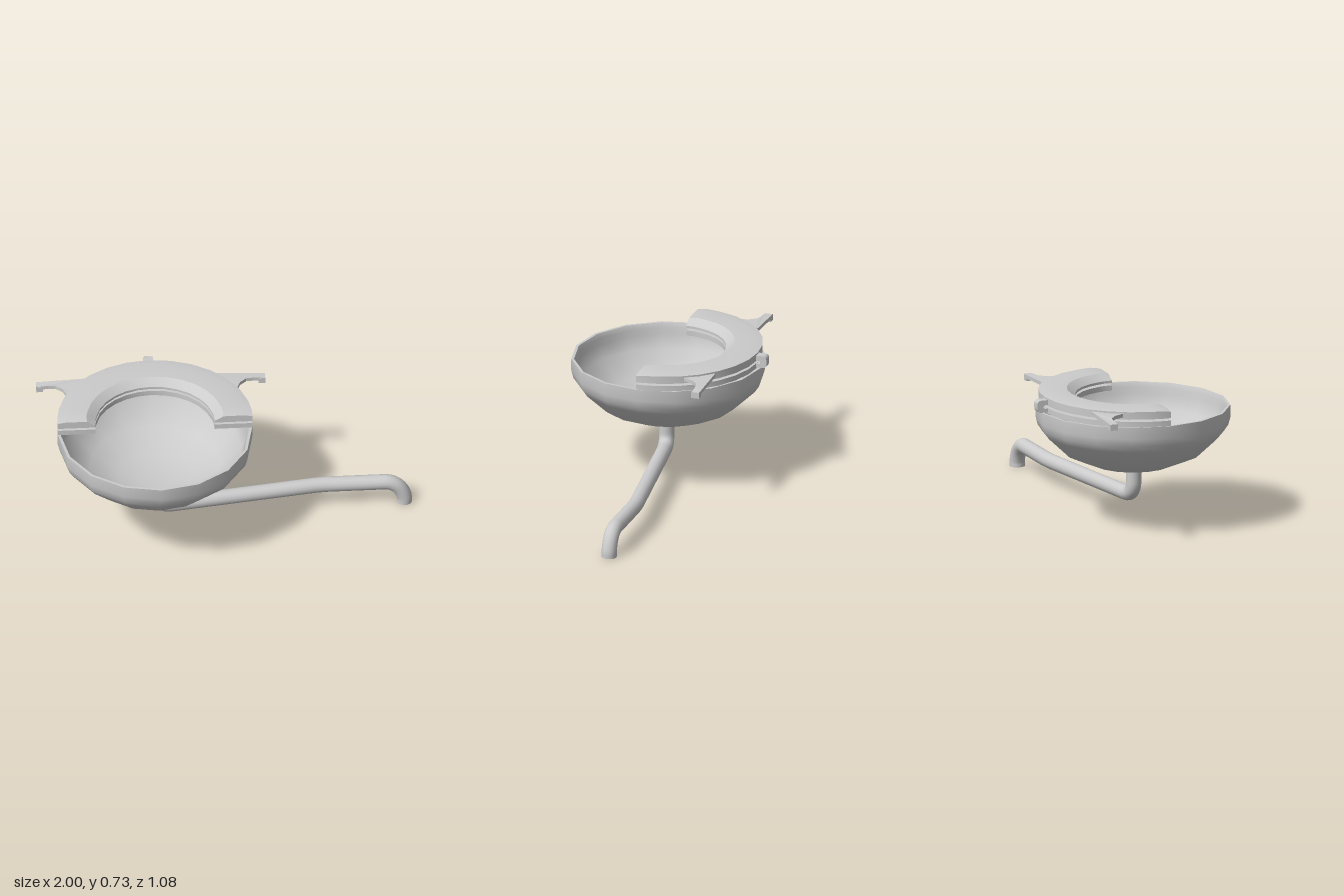
import * as THREE from 'three';
import { toCreasedNormals } from 'three/addons/utils/BufferGeometryUtils.js';

const CX = -0.387, CZ = 0.021; // axis of the bowl
const mat = new THREE.MeshStandardMaterial({ color: 0xcccccc });
const matBoth = new THREE.MeshStandardMaterial({ color: 0xcccccc, side: THREE.DoubleSide });

function add(group, name, geometry, material = mat) {
  const mesh = new THREE.Mesh(geometry, material);
  mesh.name = name;
  group.add(mesh);
  return mesh;
}

// Half ring: a closed [radius, y] profile swept round the back, slightly flattened in depth.
function halfRing(profile, endDrop) {
  const n = profile.length, sections = [], steps = 14;
  const section = (a, dz, drop) => sections.push(profile.map(([r, y]) =>
    [r * Math.cos(a), y > 0.7 ? y - drop : y, -0.967 * r * Math.sin(a) + dz]));
  section(0, 0.008, endDrop);
  section(0, -0.034, 0);
  for (let i = 1; i < steps; i++) section(i * Math.PI / steps, 0, 0);
  section(Math.PI, -0.034, 0);
  section(Math.PI, 0.008, endDrop);

  const pos = sections.flat(2), index = [];
  const last = (sections.length - 1) * n;
  for (let s = 0; s < sections.length - 1; s++)
    for (let j = 0; j < n; j++) {
      const a = s * n + j, b = s * n + (j + 1) % n;
      index.push(a, a + n, b, b, a + n, b + n);
    }
  const caps = THREE.ShapeUtils.triangulateShape(profile.map(p => new THREE.Vector2(...p)), []);
  for (const [a, b, c] of caps) index.push(a, b, c, last + a, last + c, last + b);
  const g = new THREE.BufferGeometry();
  g.setAttribute('position', new THREE.Float32BufferAttribute(pos, 3));
  g.setIndex(index);
  return toCreasedNormals(g, 0.3);
}

// Side handle: a tapering plate that dips outwards, with a block under its tip.
function handle(side) {
  const group = new THREE.Group();
  const pts = [[0.613, 0.38], [0.33, 0.38], [0.4, 0.24], [0.452, 0.236], [0.475, 0.295], [0.51, 0.33],
    [0.55, 0.337], [0.613, 0.337]];
  const shape = new THREE.Shape(pts.map(([x, z]) => new THREE.Vector2(side * x, z)));
  const g = new THREE.ExtrudeGeometry(shape, { depth: 0.02, bevelEnabled: false });
  g.rotateX(-Math.PI / 2);
  const p = g.attributes.position;
  for (let i = 0; i < p.count; i++)
    p.setY(i, p.getY(i) + 0.68 + 0.075 * Math.max(0, 0.613 - Math.max(0.45, Math.abs(p.getX(i)))));
  g.computeVertexNormals();
  add(group, 'handlePlate', g);
  add(group, 'handleTip', new THREE.BoxGeometry(0.035, 0.033, 0.044))
    .position.set(side * 0.5955, 0.6825, -0.358);
  return group;
}

export function createModel() {
  const model = new THREE.Group();
  const body = new THREE.Group();
  body.name = 'bowlAndSeat';
  body.position.set(CX, 0, CZ);
  model.add(body);

  // Bowl: outside from the base to the rim, then the inside back down
  const bowl = [[0, 0.296], [0.085, 0.298], [0.21, 0.312], [0.365, 0.377], [0.485, 0.49], [0.51, 0.527],
    [0.521, 0.57], [0.521, 0.635], [0.506, 0.635], [0.496, 0.61], [0.494, 0.575], [0.465, 0.503],
    [0.352, 0.395], [0.2, 0.332], [0.085, 0.317], [0, 0.315]].map(([r, y]) => new THREE.Vector2(r, y));
  add(body, 'bowl', toCreasedNormals(new THREE.LatheGeometry(bowl, 16), 0.6));

  // Two stacked half rings with a gap between them
  add(body, 'lowerSeat', halfRing([[0.318, 0.638], [0.521, 0.638], [0.521, 0.667], [0.318, 0.667]], 0));
  add(body, 'upperSeat', halfRing([[0.318, 0.68], [0.521, 0.68], [0.521, 0.721], [0.475, 0.728],
    [0.365, 0.727], [0.345, 0.713], [0.318, 0.693]], 0.007));

  // Hinge: a rounded C-shaped clip joining the rings at the back
  const clip = new THREE.Shape();
  clip.moveTo(0.49, 0.645);
  clip.lineTo(0.538, 0.645);
  clip.quadraticCurveTo(0.56, 0.645, 0.56, 0.667);
  clip.lineTo(0.56, 0.69);
  clip.quadraticCurveTo(0.56, 0.712, 0.538, 0.712);
  clip.lineTo(0.49, 0.712);
  clip.lineTo(0.49, 0.685);
  clip.lineTo(0.515, 0.685);
  clip.absarc(0.515, 0.675, 0.01, Math.PI / 2, -Math.PI / 2, true);
  clip.lineTo(0.49, 0.665);
  const clipGeo = new THREE.ExtrudeGeometry(clip, { depth: 0.048, bevelEnabled: false, curveSegments: 5 });
  clipGeo.translate(0, 0, -0.024).rotateY(Math.PI / 2);
  add(body, 'hinge', toCreasedNormals(clipGeo, 0.6));

  // Handles
  for (const side of [1, -1]) {
    const h = handle(side);
    h.name = side > 0 ? 'leftHandle' : 'rightHandle';
    body.add(h);
  }

  // Drain pipe: straight runs joined by tight, faceted bends
  const V = (x, y, z) => new THREE.Vector3(x, y, z);
  const path = new THREE.CurvePath();
  const line = (a, b) => path.add(new THREE.LineCurve3(a, b));
  const bend = (a, b, c) => path.add(new THREE.QuadraticBezierCurve3(a, b, c));
  const A = V(-0.38, 0.31, 0.028), B = V(-0.38, 0.205, 0.028), C = V(-0.3, 0.132, 0.016);
  const D = V(0.47, 0.132, -0.094), E = V(0.57, 0.132, -0.1), F = V(0.86, 0.132, -0.1);
  const G = V(0.957, 0.03, -0.1), H = V(0.957, 0, -0.1);
  line(A, B);
  bend(B, V(-0.375, 0.136, 0.027), C);
  line(C, D);
  bend(D, V(0.52, 0.132, -0.1), E);
  line(E, F);
  bend(F, V(0.935, 0.122, -0.1), G);
  line(G, H);
  add(model, 'drainPipe', new THREE.TubeGeometry(path, 90, 0.041, 16), matBoth);

  // Open mouth of the pipe
  const mouth = add(model, 'pipeMouth', new THREE.RingGeometry(0.03, 0.041, 16));
  mouth.rotation.x = Math.PI / 2;
  mouth.position.copy(H);
  add(model, 'pipeBore', new THREE.CylinderGeometry(0.03, 0.03, 0.03, 16, 1, true), matBoth)
    .position.set(H.x, 0.015, H.z);
  return model;
}
